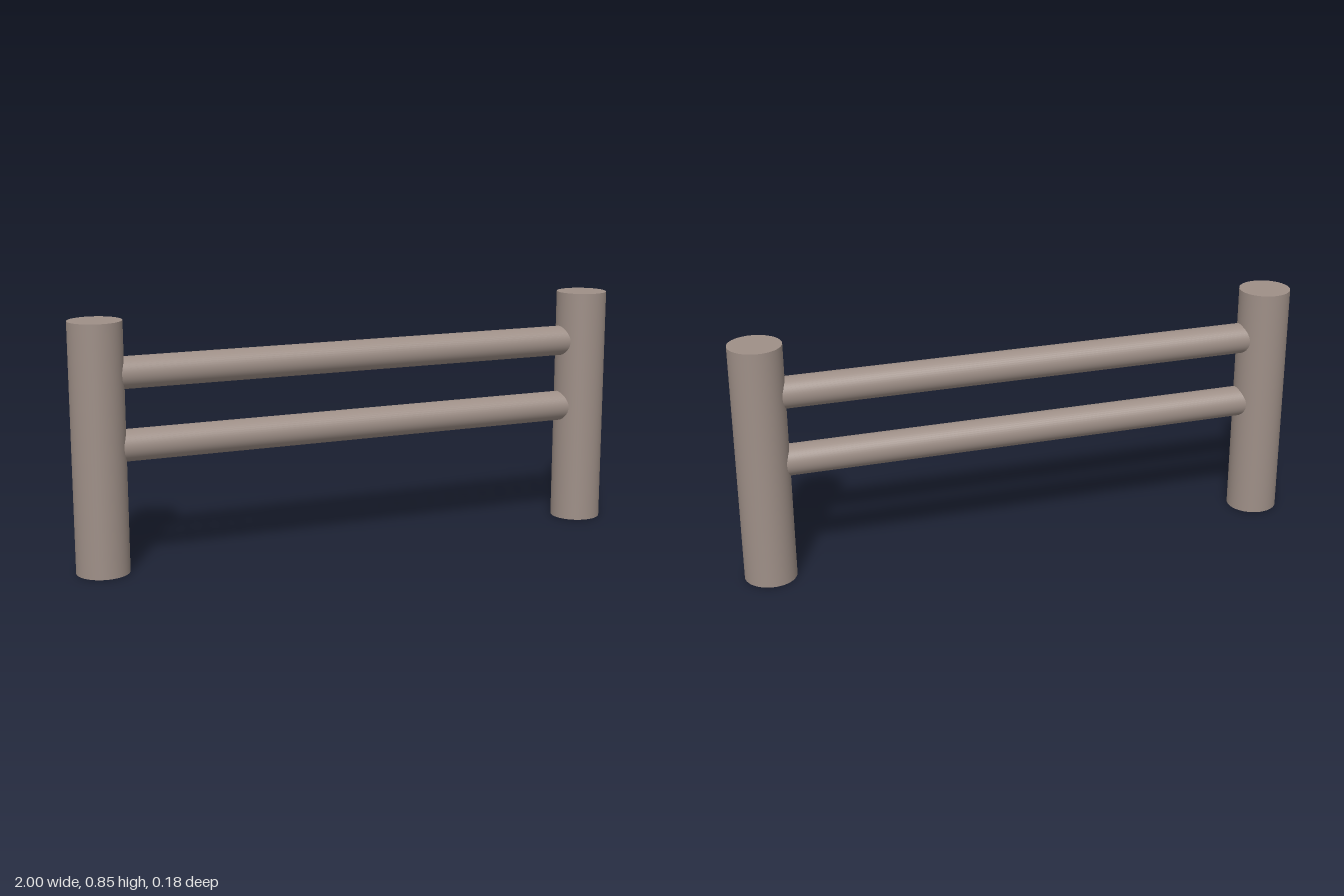
import * as THREE from 'three';

export function createModel() {
  const model = new THREE.Group();
  model.name = 'railFence';

  const wood = new THREE.MeshStandardMaterial({ color: 0x9e8f87 });
  wood.name = 'weatheredWood';

  const postRadius = 0.09, postHeight = 0.848, postX = 1 - postRadius;
  const railRadius = 0.054;

  function addLog(name, radius, length, x, y) {
    const log = new THREE.Mesh(new THREE.CylinderGeometry(radius, radius, length, 48), wood);
    log.name = name;
    log.position.set(x, y, 0);
    model.add(log);
    return log;
  }

  // Upright posts at both ends
  for (const [name, side] of [['leftPost', 1], ['rightPost', -1]]) {
    addLog(name, postRadius, postHeight, side * postX, postHeight / 2);
  }

  // Horizontal rails, with their ends buried in the posts
  for (const [name, y] of [['upperRail', 0.67], ['lowerRail', 0.426]]) {
    addLog(name, railRadius, 2 * postX, 0, y).rotation.z = Math.PI / 2;
  }

  return model;
}
